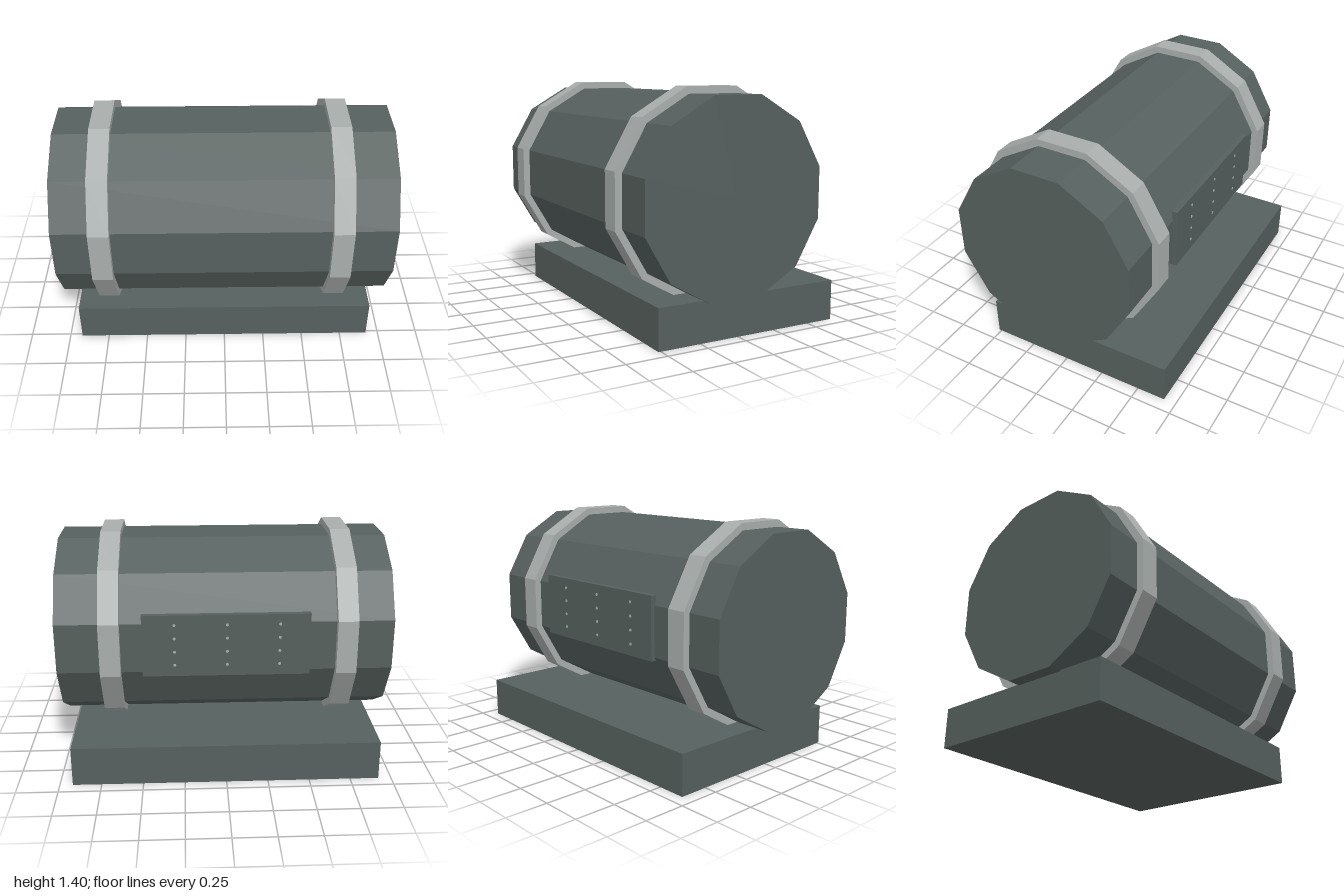
import * as THREE from 'three';

export function createModel() {
  const model = new THREE.Group();
  model.name = 'strappedTank';

  const bodyPaint = new THREE.MeshStandardMaterial({ color: 0x56605e, flatShading: true });
  bodyPaint.name = 'darkGreyGreen';
  const bandPaint = new THREE.MeshStandardMaterial({ color: 0xa9aeac, flatShading: true });
  bandPaint.name = 'lightGrey';

  const add = (name, geometry, material, x, y, z) => {
    const mesh = new THREE.Mesh(geometry, material);
    mesh.name = name;
    mesh.position.set(x, y, z);
    model.add(mesh);
    return mesh;
  };

  // Twelve-sided prism lying along x, measured across its flats
  const prism = (apothem, length) =>
    new THREE.CylinderGeometry(apothem / Math.cos(Math.PI / 12), apothem / Math.cos(Math.PI / 12),
      length, 12, 1, false, Math.PI / 12).rotateZ(Math.PI / 2);

  const axisY = 0.8, axisZ = 0.073;

  // Base slab, set towards the back
  add('base', new THREE.BoxGeometry(1.845, 0.243, 1.19), bodyPaint, 0, 0.1215, -0.08);

  // Tank
  add('tank', prism(0.563, 2), bodyPaint, 0, axisY, axisZ);

  // Straps around the tank, their undersides sunk into the base
  for (const x of [-0.718, 0.68]) {
    add('strap', prism(0.605, 0.122), bandPaint, x, axisY, axisZ);
  }

  // Back plate with three columns of rivets
  add('backPlate', new THREE.BoxGeometry(0.99, 0.38, 0.035), bodyPaint, -0.005, 0.82, -0.4975);
  const rivet = new THREE.CylinderGeometry(0.009, 0.009, 0.006, 8).rotateX(Math.PI / 2);
  for (const x of [-0.32, -0.01, 0.3]) {
    for (let row = 0; row < 4; row++) {
      add('rivet', rivet, bandPaint, x, 0.7 + row * 0.083, -0.515);
    }
  }

  return model;
}
